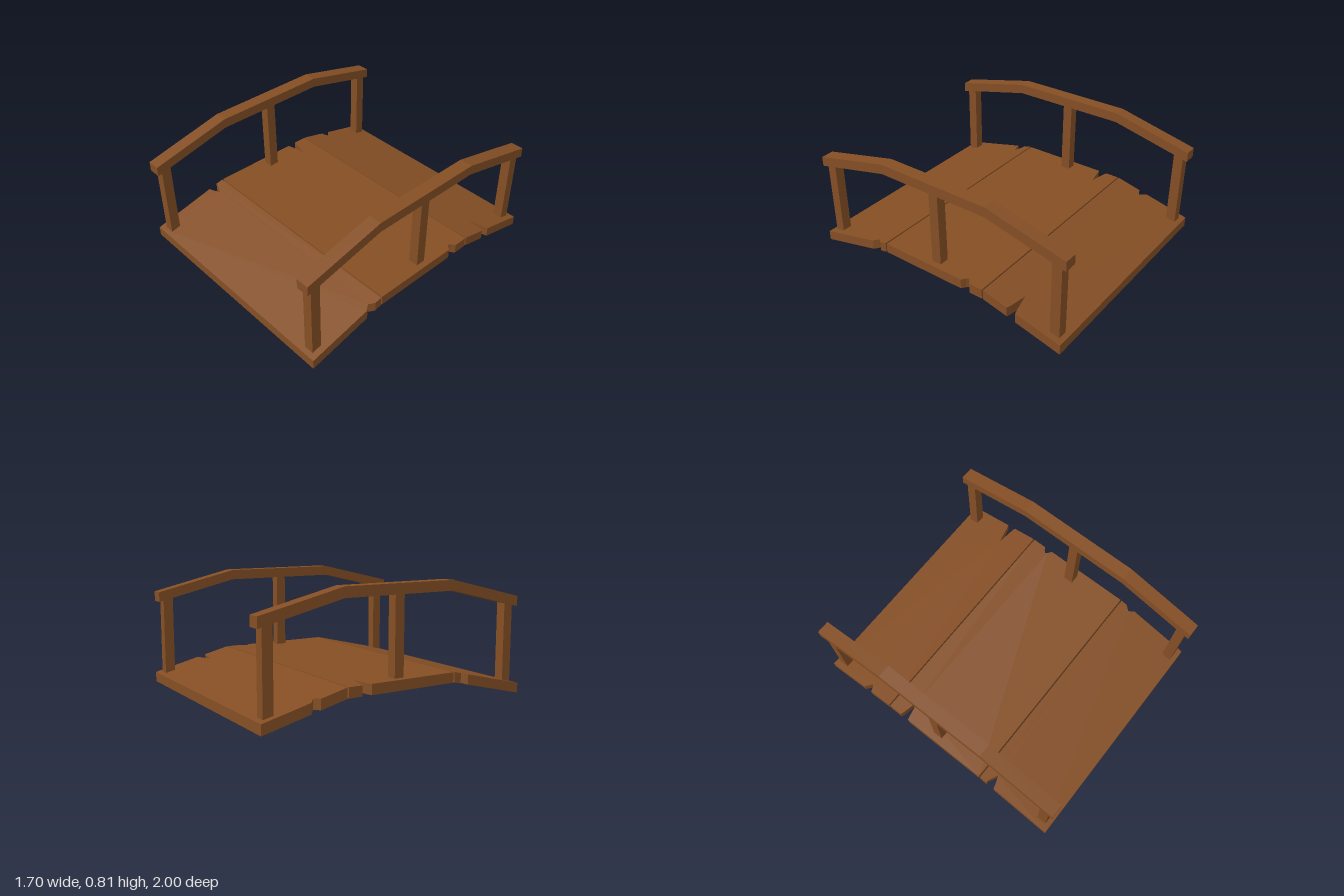
import * as THREE from 'three';

const THICK = 0.07;
const RISE = 0.14;
const BEND = 0.42;

// Height of the deck underside: level in the middle, sloping down to both ends
const deckHeight = (z) => RISE * (1 - Math.max(0, Math.abs(z) - BEND) / (1 - BEND));

function toShape(points) {
  return new THREE.Shape(points.map(([x, y]) => new THREE.Vector2(x, y)));
}

// Plank from z0 to z1 with one chipped notch per side, given as [x, z] points
function plankGeometry(z0, z1, leftNotch, rightNotch) {
  const w = 0.85;
  const outline = [[-w, z1], [w, z1], ...rightNotch, [w, z0], [-w, z0], ...leftNotch];
  const geo = new THREE.ExtrudeGeometry(toShape(outline.map(([x, z]) => [x, -z])),
    { depth: THICK, bevelEnabled: false });
  geo.rotateX(-Math.PI / 2);
  const p = geo.attributes.position;
  for (let i = 0; i < p.count; i++) p.setY(i, p.getY(i) + deckHeight(p.getZ(i)));
  geo.computeVertexNormals();
  return geo;
}

export function createModel() {
  const model = new THREE.Group();
  model.name = 'footbridge';
  const wood = new THREE.MeshStandardMaterial({ color: 0x844e24 });
  wood.name = 'brown wood';

  const add = (name, geo, x = 0, y = 0, z = 0) => {
    const mesh = new THREE.Mesh(geo, wood);
    mesh.name = name;
    mesh.position.set(x, y, z);
    model.add(mesh);
  };

  // Deck: two ramps and a level middle, each with chipped edges
  add('frontPlank', plankGeometry(0.42, 1,
    [[-0.85, 0.475], [-0.82, 0.482], [-0.76, 0.51], [-0.82, 0.532], [-0.85, 0.54]],
    [[0.85, 0.545], [0.82, 0.507], [0.85, 0.47]]));
  add('middlePlank', plankGeometry(-0.41, 0.41,
    [[-0.85, -0.31], [-0.82, -0.3], [-0.7, -0.275], [-0.82, -0.25], [-0.85, -0.242]],
    [[0.85, -0.24], [0.82, -0.262], [0.81, -0.275], [0.82, -0.288], [0.85, -0.31]]));
  add('backPlank', plankGeometry(-1, -0.42,
    [[-0.85, -0.672], [-0.82, -0.647], [-0.8, -0.63], [-0.82, -0.615], [-0.85, -0.605]],
    [[0.85, -0.605], [0.82, -0.613], [0.69, -0.63], [0.82, -0.66], [0.85, -0.67]]));

  // Handrail profile along the bridge, bent like the deck
  const railWidth = 0.094;
  const railGeo = new THREE.ExtrudeGeometry(toShape([
    [-1, 0.605], [-BEND, 0.742], [BEND, 0.742], [1, 0.605],
    [1, 0.675], [BEND, 0.812], [-BEND, 0.812], [-1, 0.675],
  ]), { depth: railWidth, bevelEnabled: false });
  railGeo.rotateY(Math.PI / 2).translate(-railWidth / 2, 0, 0);

  // Rails and their posts on both sides
  for (const [side, s] of [['left', 1], ['right', -1]]) {
    add(side + 'Rail', railGeo, s * 0.773);
    for (const [place, z, bottom, top] of [
      ['Front', 0.93, 0.06, 0.64], ['Middle', 0, 0.17, 0.76], ['Back', -0.93, 0.06, 0.64],
    ]) {
      add(side + place + 'Post', new THREE.BoxGeometry(0.07, top - bottom, 0.07),
        s * 0.77, (top + bottom) / 2, z);
    }
  }
  return model;
}
